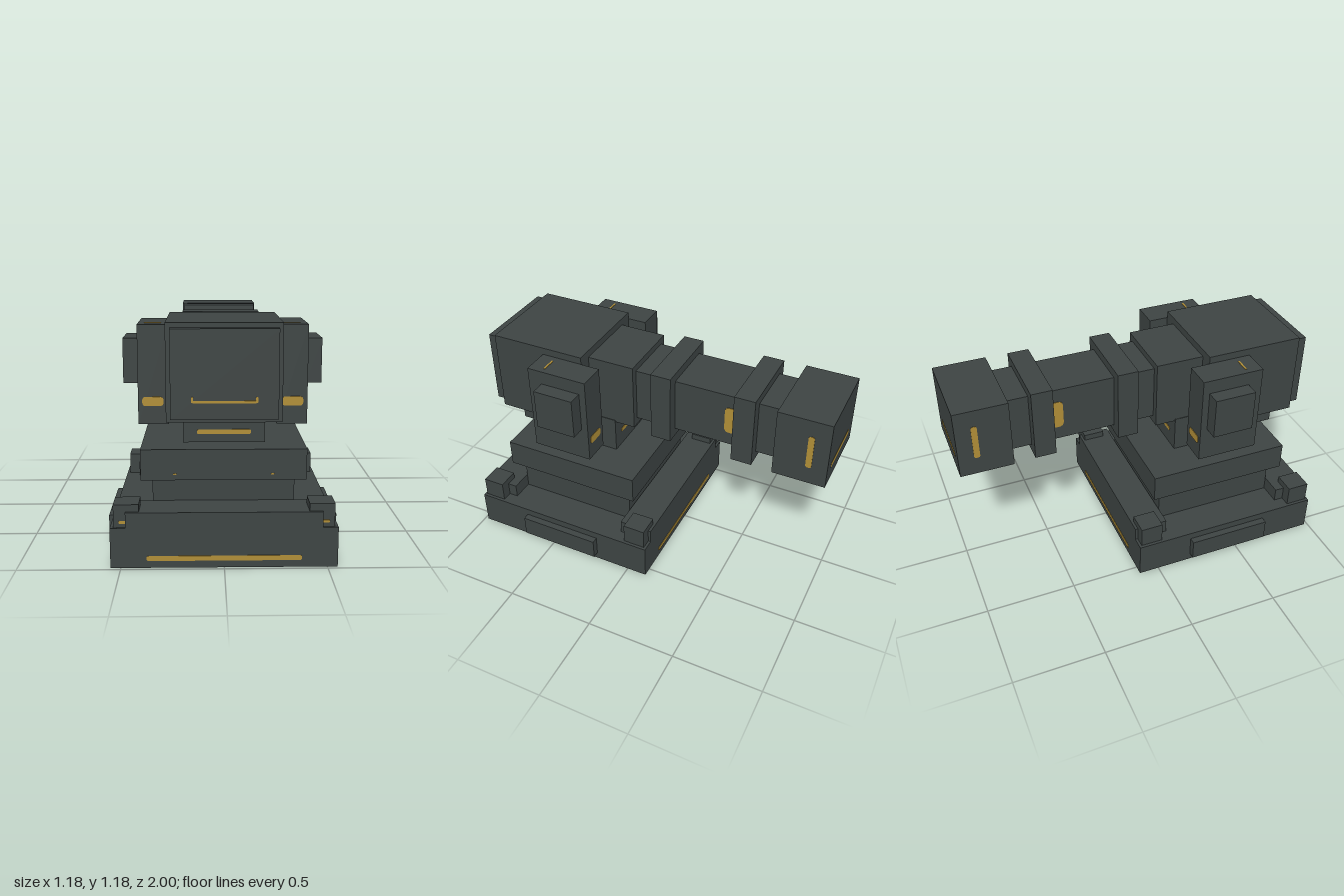
import * as THREE from 'three';

const armour = new THREE.MeshStandardMaterial({ color: 0x3d4443 });
armour.name = 'dark armour';
const gold = new THREE.MeshStandardMaterial({ color: 0xb08e37 });
gold.name = 'gold trim';

export function createModel() {
  const model = new THREE.Group();
  model.name = 'turret';

  // Box given by its extents on each axis
  const box = (name, [x0, x1], [y0, y1], [z0, z1]) => {
    const mesh = new THREE.Mesh(new THREE.BoxGeometry(x1 - x0, y1 - y0, z1 - z0), armour);
    mesh.position.set((x0 + x1) / 2, (y0 + y1) / 2, (z0 + z1) / 2);
    mesh.name = name;
    model.add(mesh);
  };
  // Box centred on x = 0
  const mid = (name, half, y, z) => box(name, [-half, half], y, z);
  // Pair of boxes mirrored in x
  const pair = (name, [x0, x1], y, z) => {
    box(name + 'Left', [x0, x1], y, z);
    box(name + 'Right', [-x1, -x0], y, z);
  };

  // Thin round-cornered trim plate lying on a surface that faces the given way
  const turns = {
    front: [0, 0], back: [0, Math.PI], left: [0, Math.PI / 2], right: [0, -Math.PI / 2],
    up: [-Math.PI / 2, 0], down: [Math.PI / 2, 0],
  };
  const trim = (name, facing, w, h, x, y, z) => {
    const a = w / 2, b = h / 2, r = Math.min(a, b) * 0.8;
    const s = new THREE.Shape();
    s.moveTo(-a + r, -b);
    s.lineTo(a - r, -b);
    s.quadraticCurveTo(a, -b, a, -b + r);
    s.lineTo(a, b - r);
    s.quadraticCurveTo(a, b, a - r, b);
    s.lineTo(-a + r, b);
    s.quadraticCurveTo(-a, b, -a, b - r);
    s.lineTo(-a, -b + r);
    s.quadraticCurveTo(-a, -b, -a + r, -b);
    const g = new THREE.ExtrudeGeometry(s, { depth: 0.003, bevelEnabled: false, curveSegments: 4 });
    const mesh = new THREE.Mesh(g, gold);
    mesh.rotation.set(turns[facing][0], turns[facing][1], 0);
    mesh.position.set(x, y, z);
    mesh.name = name;
    model.add(mesh);
  };

  // Stepped base
  mid('base', 0.55, [0, 0.2], [-0.115, 0.98]);
  mid('frontLedge', 0.475, [0.2, 0.278], [0.79, 0.98]);
  mid('backLedge', 0.475, [0.2, 0.278], [-0.115, 0.075]);
  pair('frontCornerBlock', [0.41, 0.533], [0.2, 0.315], [0.843, 0.967]);
  pair('backCornerBlock', [0.41, 0.533], [0.2, 0.315], [-0.1, 0.025]);
  pair('sidePlate', [0.55, 0.588], [0.042, 0.16], [0.2, 0.67]);
  mid('pedestal', 0.353, [0.2, 0.397], [0.082, 0.788]);
  mid('turntable', 0.408, [0.397, 0.552], [0.028, 0.84]);

  // Neck and head
  mid('neck', 0.198, [0.552, 0.76], [0.24, 0.63]);
  mid('chin', 0.198, [0.595, 0.72], [0.5, 0.865]);
  mid('head', 0.275, [0.71, 1.18], [0.39, 0.943]);
  mid('facePlate', 0.252, [0.735, 1.158], [0.943, 1]);
  mid('breech', 0.195, [0.75, 1.14], [0.12, 0.4]);
  pair('bracket', [0.222, 0.28], [0.67, 1.1], [0.4, 0.57]);
  pair('sidePod', [0.275, 0.43], [0.632, 1.14], [0.28, 0.63]);
  pair('podCap', [0.43, 0.51], [0.83, 1.062], [0.318, 0.55]);

  // Barrel with collars and muzzle
  mid('barrel', 0.156, [0.792, 1.103], [-0.72, 0.13]);
  for (const z of [-0.115, -0.59]) mid('barrelCollar', 0.218, [0.745, 1.15], [z, z + 0.117]);
  mid('muzzle', 0.235, [0.752, 1.142], [-1, -0.71]);

  // Trim on the base
  trim('baseFrontTrim', 'front', 0.75, 0.025, 0, 0.048, 0.98);
  trim('baseBackTrim', 'back', 0.75, 0.025, 0, 0.048, -0.115);
  for (const x of [-0.24, 0, 0.24]) trim('undersideSpot', 'down', 0.14, 0.09, x, 0.003, 0.14);

  // Trim on the neck, face and muzzle
  trim('chinTrim', 'front', 0.26, 0.023, 0, 0.647, 0.865);
  trim('neckBackTrim', 'back', 0.26, 0.023, 0, 0.647, 0.24);
  trim('faceTrim', 'front', 0.3, 0.012, 0, 0.819, 1);
  trim('muzzleBackTrim', 'back', 0.33, 0.032, 0, 0.845, -0.998);

  // Mirrored trim
  for (const [s, side] of [[1, 'left'], [-1, 'right']]) {
    trim('faceTrimEnd', 'front', 0.01, 0.028, s * 0.15, 0.829, 1);
    trim('podFrontTrim', 'front', 0.108, 0.048, s * 0.355, 0.75, 0.63);
    trim('podBackTrim', 'back', 0.108, 0.048, s * 0.355, 0.75, 0.28);
    trim('podTopTrim', 'up', 0.085, 0.01, s * 0.355, 1.14, 0.545);
    trim('cornerTrim', 'front', 0.035, 0.014, s * 0.49, 0.227, 0.967);
    trim('turntableTrim', 'front', 0.016, 0.006, s * 0.24, 0.428, 0.84);
    trim('barrelTrim', side, 0.07, 0.16, s * 0.156, 0.947, -0.44);
    trim('muzzleSideTrim', side, 0.032, 0.195, s * 0.235, 0.95, -0.9);
  }
  return model;
}
